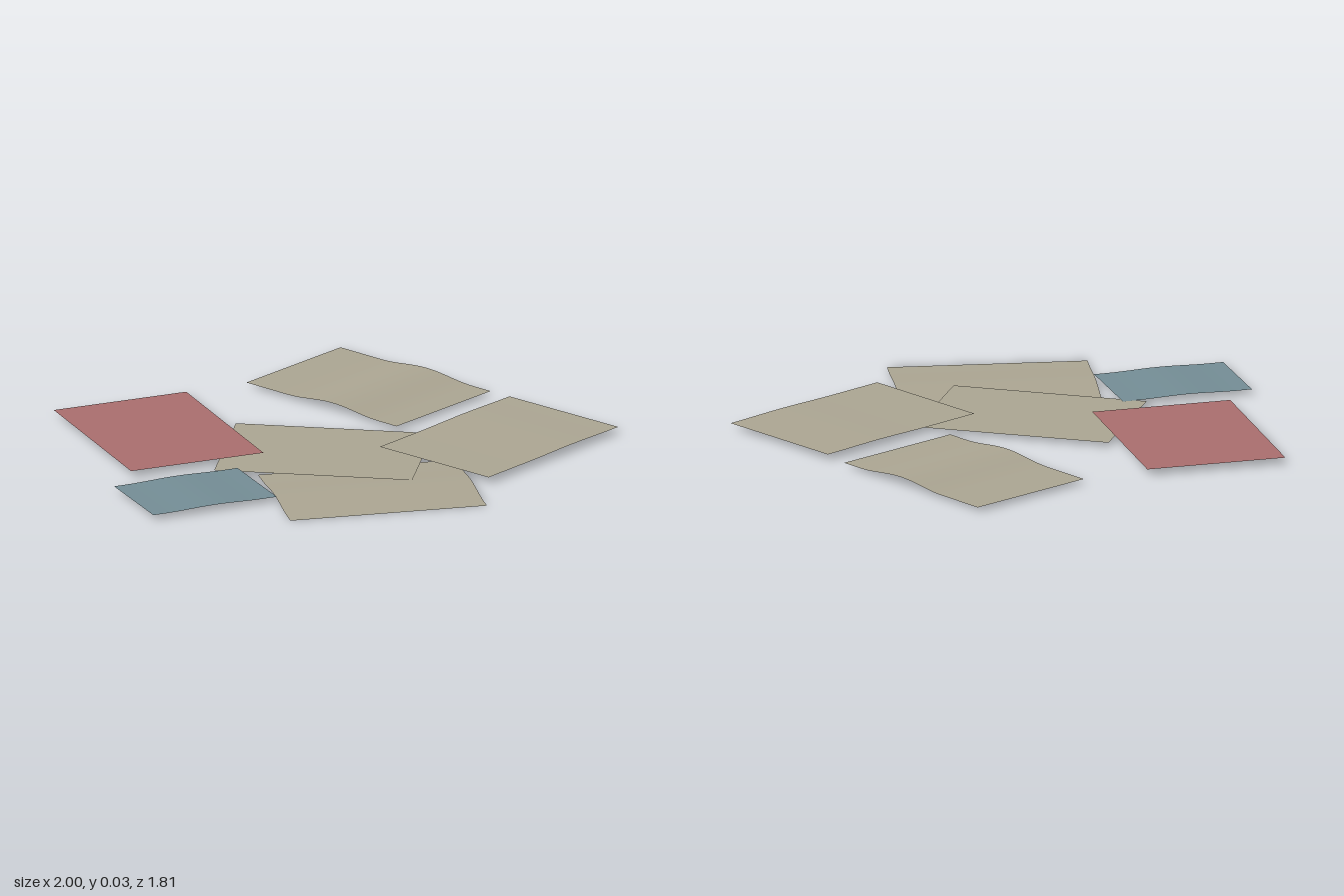
import * as THREE from 'three';

const paper = new THREE.MeshStandardMaterial({ name: 'agedPaper', color: 0xaaa491, side: THREE.DoubleSide });
const red = new THREE.MeshStandardMaterial({ name: 'redCard', color: 0xa86d6d, side: THREE.DoubleSide });
const blue = new THREE.MeshStandardMaterial({ name: 'blueCard', color: 0x738c94, side: THREE.DoubleSide });

// Smooth hump between a and b, 1 at the middle
const hump = (t, a, b) => (t <= a || t >= b ? 0 : Math.sin(Math.PI * (t - a) / (b - a)) ** 2);

// Thin sheet lying flat; height(s, t) lifts it along its length s and width t (0 to 1)
function sheet(name, material, length, width, x, y, z, turn, height = () => 0) {
  const geo = new THREE.PlaneGeometry(length, width, 28, 20);
  geo.rotateX(-Math.PI / 2);
  const p = geo.attributes.position;
  for (let i = 0; i < p.count; i++) {
    p.setY(i, height(p.getX(i) / length + 0.5, p.getZ(i) / width + 0.5));
  }
  geo.computeVertexNormals();
  const mesh = new THREE.Mesh(geo, material);
  mesh.name = name;
  mesh.position.set(x, y, z);
  mesh.rotation.y = turn;
  return mesh;
}

export function createModel() {
  const group = new THREE.Group();
  group.name = 'scatteredPapers';
  group.add(
    // Lowest page, buckled across its width
    sheet('frontPage', paper, 0.741, 0.523, -0.009, 0, 0.63, 0.038,
      (s, t) => 0.013 * hump(t, 0.1, 0.9)),
    // Flat page in the middle
    sheet('middlePage', paper, 0.735, 0.527, -0.111, 0.015, 0.219, -0.342),
    // Nearly flat page resting on the middle one
    sheet('rightPage', paper, 0.735, 0.524, 0.548, 0.021, 0.195, 0.676,
      (s) => 0.003 * hump(s, 0.3, 1)),
    // Page with one clear fold
    sheet('backPage', paper, 0.735, 0.522, 0.186, 0.015, -0.458, -0.914,
      (s) => 0.018 * hump(s, 0.27, 0.88)),
    // Coloured covers
    sheet('redCover', red, 0.735, 0.527, -0.668, 0.022, -0.098, -1.365),
    sheet('blueCard', blue, 0.497, 0.351, -0.659, 0.017, 0.569, 0.234,
      (s) => 0.005 * hump(s, 0.1, 0.9))
  );
  return group;
}
